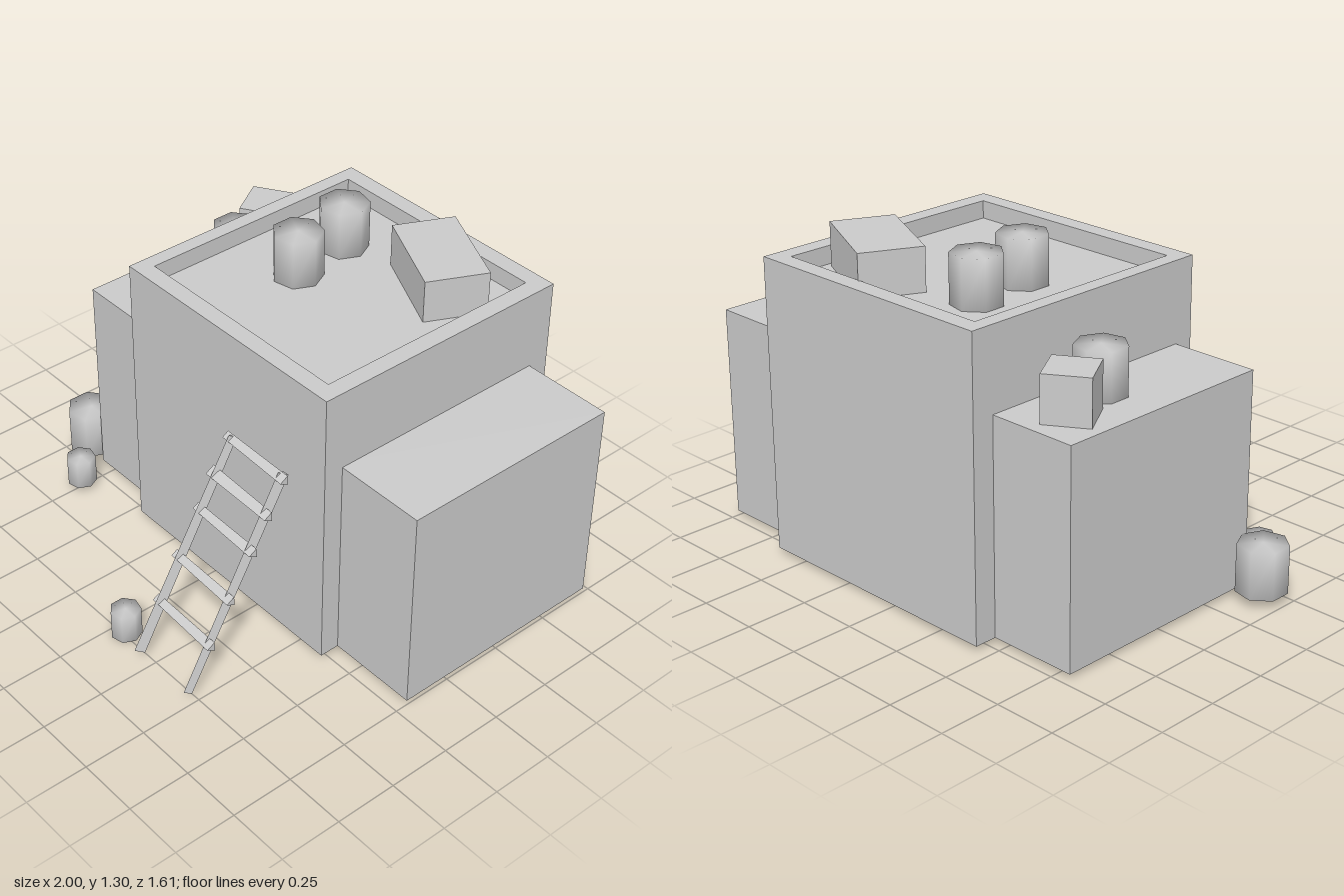
import * as THREE from 'three';
import { mergeVertices } from 'three/addons/utils/BufferGeometryUtils.js';

const flat = new THREE.MeshStandardMaterial({ color: 0xcccccc, flatShading: true });
const shell = new THREE.MeshStandardMaterial({ color: 0xcccccc, flatShading: true, side: THREE.DoubleSide });
const smooth = new THREE.MeshStandardMaterial({ color: 0xcccccc });

function add(parent, name, geometry, material = flat) {
  const mesh = new THREE.Mesh(geometry, material);
  mesh.name = name;
  parent.add(mesh);
  return mesh;
}

// Box standing on y, turned about the vertical axis
function box(parent, name, [w, h, d], [x, y, z], turn = 0) {
  const mesh = add(parent, name, new THREE.BoxGeometry(w, h, d));
  mesh.position.set(x, y + h / 2, z);
  mesh.rotation.y = turn;
}

// Open-bottomed block with a sunken roof, skinned over rectangular rings
function houseGeometry() {
  const rings = [ // x0, x1, z0, z1, y
    [-0.45, 0.63, -0.81, 0.28, 0.02],
    [-0.45, 0.63, -0.81, 0.28, 1.18],
    [-0.39, 0.56, -0.74, 0.21, 1.18],
    [-0.39, 0.56, -0.74, 0.21, 1.11],
  ];
  const points = [], index = [];
  rings.forEach(([x0, x1, z0, z1, y], r) => {
    points.push(x0, y, z1, x1, y, z1, x1, y, z0, x0, y, z0);
    if (r === 0) return;
    for (let i = 0; i < 4; i++) {
      const a = r * 4 - 4 + i, b = r * 4 - 4 + (i + 1) % 4;
      index.push(a, b, b + 4, a, b + 4, a + 4);
    }
  });
  index.push(12, 13, 14, 12, 14, 15);
  const g = new THREE.BufferGeometry();
  g.setAttribute('position', new THREE.Float32BufferAttribute(points, 3));
  g.setIndex(index);
  g.computeVertexNormals();
  return g;
}

// Seven-sided pot whose shading runs smoothly over the rim
function potGeometry(radius, height) {
  let g = new THREE.CylinderGeometry(radius, radius, height, 7);
  g.deleteAttribute('normal');
  g.deleteAttribute('uv');
  g = mergeVertices(g);
  g.rotateY(Math.PI / 2);
  g.translate(0, height / 2, 0);
  g.computeVertexNormals();
  return g;
}

// Rough three-sided pole between two points
function pole(parent, name, from, to, r0, r1, squeeze = 1) {
  const a = new THREE.Vector3(...from), b = new THREE.Vector3(...to);
  const dir = b.clone().sub(a);
  const g = new THREE.CylinderGeometry(r1, r0, dir.length(), 3);
  g.scale(squeeze, 1, 1);
  const mesh = add(parent, name, g);
  mesh.position.copy(a).add(b).multiplyScalar(0.5);
  mesh.quaternion.setFromUnitVectors(new THREE.Vector3(0, 1, 0), dir.normalize());
}

export function createModel() {
  const model = new THREE.Group();
  model.name = 'house';

  // Building
  add(model, 'mainBlock', houseGeometry(), shell);
  box(model, 'leftWing', [0.4, 0.84, 0.92], [0.8, 0.02, -0.26]);
  box(model, 'rightWing', [0.39, 0.84, 0.92], [-0.615, 0.02, -0.26]);

  // Crates on the roofs
  box(model, 'roofChest', [0.39, 0.17, 0.244], [0.308, 1.11, -0.552], -0.452);
  box(model, 'wingCrate', [0.176, 0.18, 0.176], [-0.647, 0.86, -0.548], 0.555);

  // Pots: x, y, z, radius, height
  const pots = [
    [-0.13, 1.11, -0.48, 0.098, 0.19],
    [-0.09, 1.11, -0.22, 0.098, 0.19],
    [-0.58, 0.86, -0.335, 0.098, 0.185],
    [-0.907, 0.04, 0.175, 0.098, 0.19],
    [-0.753, 0.03, 0.347, 0.059, 0.12],
    [0.053, 0, 0.735, 0.059, 0.12],
  ];
  for (const [x, y, z, r, h] of pots) {
    add(model, 'pot', potGeometry(r, h), smooth).position.set(x, y, z);
  }

  // Leaning ladder with uneven poles
  const ladder = new THREE.Group();
  ladder.name = 'ladder';
  model.add(ladder);
  pole(ladder, 'rail', [0.188, 0.03, 0.775], [0.19, 0.8, 0.325], 0.028, 0.022, 0.6);
  pole(ladder, 'rail', [0.47, 0.03, 0.775], [0.465, 0.8, 0.325], 0.022, 0.028, 0.55);
  const rungs = [[0.21, 0.675], [0.372, 0.583], [0.538, 0.48], [0.665, 0.41], [0.79, 0.338]];
  rungs.forEach(([y, z], i) => {
    const thick = i === 3 ? 0.025 : 0.018;
    pole(ladder, 'rung', [0.16, y - 0.002, z - 0.008], [0.5, y + 0.004, z + 0.008], thick, 0.022);
  });
  return model;
}
